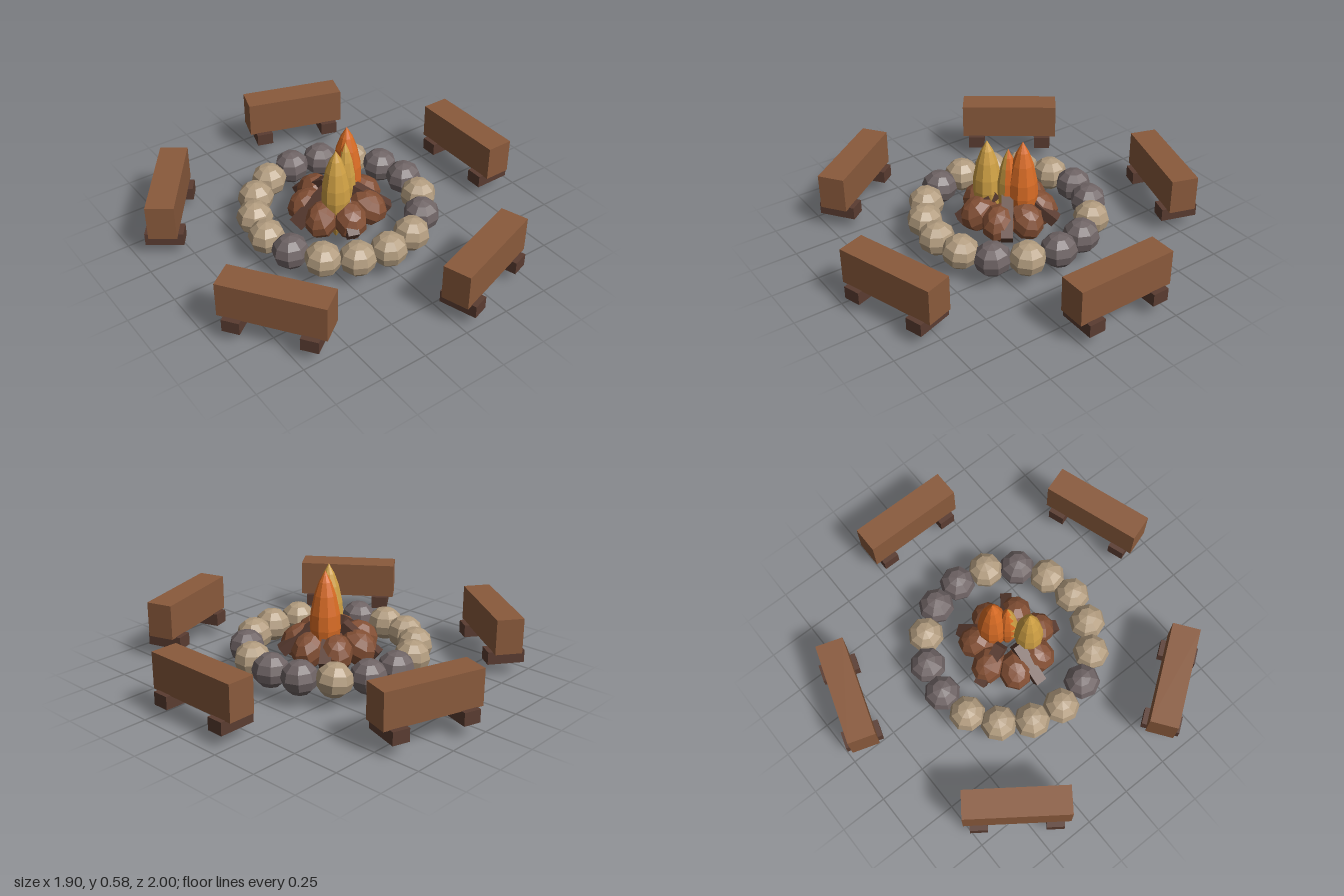
import * as THREE from 'three';

const mat = (name, color) => {
  const m = new THREE.MeshStandardMaterial({ color, flatShading: true });
  m.name = name;
  return m;
};

export function createModel() {
  const wood = mat('bench wood', 0x8a5a3c);
  const darkWood = mat('dark wood', 0x5a3c31);
  const tan = mat('tan stone', 0xb29c7f);
  const grey = mat('grey stone', 0x6f6465);
  const ember = mat('brown ember', 0x834f34);
  const yellow = mat('yellow flame', 0xcfa044);
  const orange = mat('orange flame', 0xd96c25);

  const root = new THREE.Group();
  root.name = 'campfire';
  const CX = -0.027; // shared centre of all rings

  const add = (parent, name, geo, m, x = 0, y = 0, z = 0) => {
    const mesh = new THREE.Mesh(geo, m);
    mesh.name = name;
    mesh.position.set(x, y, z);
    parent.add(mesh);
    return mesh;
  };

  // group whose local +x points outward at the given angle
  const spoke = (name, angle) => {
    const g = new THREE.Group();
    g.name = name;
    g.position.x = CX;
    g.rotation.y = angle;
    root.add(g);
    return g;
  };

  // five benches, each a beam on two cross feet
  const beamGeo = new THREE.BoxGeometry(0.145, 0.19, 0.54);
  const footGeo = new THREE.BoxGeometry(0.197, 0.068, 0.09);
  for (let i = 0; i < 5; i++) {
    const g = spoke('bench', (i * Math.PI * 2) / 5);
    add(g, 'benchBeam', beamGeo, wood, 0.875, 0.226, 0);
    for (const s of [-1, 1]) add(g, 'benchFoot', footGeo, darkWood, 0.875, 0.1, s * 0.192);
  }

  // ring of sixteen stones
  const stoneGeo = new THREE.SphereGeometry(0.096, 8, 6);
  const pattern = 'ggtggttttgttttgt';
  [...pattern].forEach((c, i) => {
    const g = spoke('stoneSpoke', (i * Math.PI) / 8);
    const s = add(g, 'ringStone', stoneGeo, c === 'g' ? grey : tan, 0.437, 0.143, 0);
    s.scale.y = 0.93;
    s.rotation.set(0.06 * Math.sin(i * 2.3), i * 1.1, 0.06 * Math.cos(i * 1.7));
  });

  // seven lumps of ember leaning inward
  const lumpGeo = new THREE.SphereGeometry(0.1, 8, 6);
  for (let i = 0; i < 7; i++) {
    const g = spoke('emberSpoke', (i * Math.PI * 2) / 7);
    const lump = add(g, 'emberLump', lumpGeo, ember, 0.16, 0.165, 0);
    lump.scale.set(1.08, 0.9, 0.9);
    lump.rotation.z = -0.5;
  }

  // five short logs leaning together, poking out between the lumps
  const logGeo = new THREE.BoxGeometry(0.24, 0.055, 0.06);
  for (let i = 0; i < 5; i++) {
    const g = spoke('logSpoke', ((i + 0.5) * Math.PI * 2) / 5);
    const log = add(g, 'fireLog', logGeo, darkWood, 0.165, 0.2, 0);
    log.rotation.z = -0.6;
  }

  // spindle-shaped flames
  const shape = [[0, -1], [0.42, -0.78], [0.8, -0.45], [1, -0.05], [0.95, 0.22], [0.7, 0.56], [0.4, 0.8], [0, 1]];
  const flameGeo = (r, h) =>
    new THREE.LatheGeometry(shape.map(([a, b]) => new THREE.Vector2(a * r, b * h)), 10);
  add(root, 'yellowFlame', flameGeo(0.076, 0.268), yellow, -0.095, 0.288, 0.08);
  add(root, 'orangeFlame', flameGeo(0.08, 0.29), orange, 0.055, 0.29, -0.035);

  // middle flame: yellow facing the front, orange on the other sides
  const mid = flameGeo(0.056, 0.24).toNonIndexed();
  const p = mid.attributes.position;
  for (let i = 0; i < p.count; i += 3) {
    let x = 0, z = 0;
    for (let k = 0; k < 3; k++) {
      x += p.getX(i + k);
      z += p.getZ(i + k);
    }
    const front = (z - 0.35 * x) / (Math.hypot(x, z) * 1.06);
    mid.addGroup(i, 3, front > 0.4 ? 0 : 1);
  }
  add(root, 'middleFlame', mid, [yellow, orange], 0.006, 0.295, 0.02);

  return root;
}
